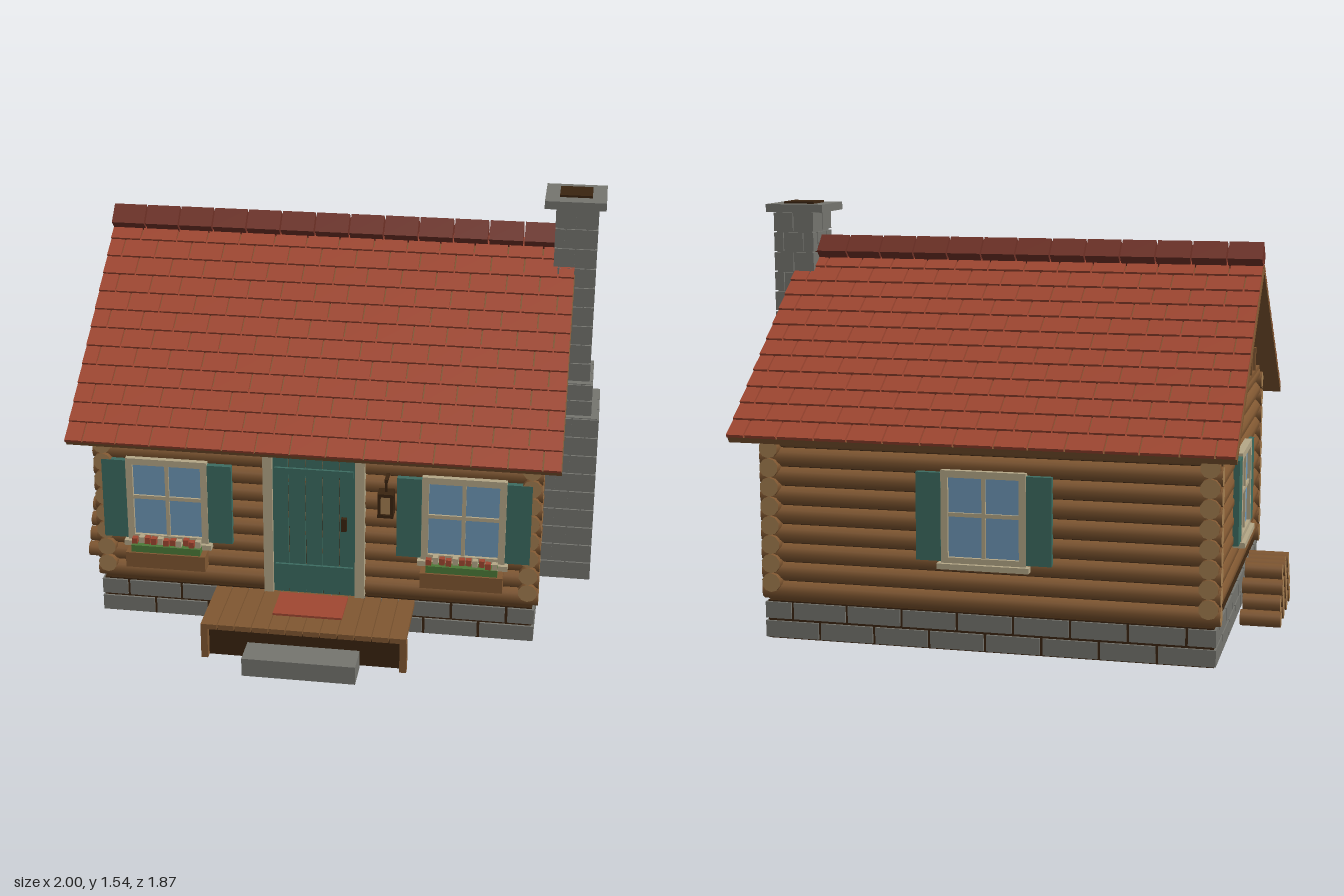
import * as THREE from 'three';
import { mergeGeometries } from 'three/addons/utils/BufferGeometryUtils.js';

const mat = (name, color) => Object.assign(new THREE.MeshStandardMaterial({ color }), { name });
const STONE = mat('stone', 0x75756f), DARK = mat('darkWood', 0x3a2410), WOOD = mat('logWood', 0x805731);
const TAN = mat('cutWood', 0xa47e50), RED = mat('roofTile', 0xa04731), RIDGE = mat('ridgeTile', 0x6f3126);
const GREEN = mat('paintedGreen', 0x3c6c61), GLASS = mat('glass', 0x6f98b8), TRIM = mat('trim', 0xb5a888);
const LEAF = mat('leaves', 0x4c7a38);

const CX = -0.012, CZ = -0.128;      // house centre
const WX = 0.7875, WZ = 0.63, R = 0.035; // log wall axes and log radius

const box = (w, h, d, x = 0, y = 0, z = 0) => new THREE.BoxGeometry(w, h, d).translate(x, y, z);
function add(parent, name, geos, material) {
  const list = Array.isArray(geos) ? geos : [geos];
  const mesh = new THREE.Mesh(list.length > 1 ? mergeGeometries(list) : list[0], material);
  mesh.name = name;
  parent.add(mesh);
  return mesh;
}
function group(parent, name, x = 0, y = 0, z = 0, ry = 0) {
  const g = new THREE.Group();
  g.name = name;
  g.position.set(x, y, z);
  g.rotation.y = ry;
  parent.add(g);
  return g;
}
function seeded(seed) {
  return () => (seed = (seed * 16807) % 2147483647) / 2147483647;
}

// Round log with pale cut ends, lying along x or z
function log(parent, name, len, r, x, y, z, alongX) {
  const g = new THREE.CylinderGeometry(r, r, len, 10);
  if (alongX) g.rotateZ(Math.PI / 2); else g.rotateX(Math.PI / 2);
  add(parent, name, g.translate(x, y, z), [WOOD, TAN, TAN]);
}

// Courses of stone blocks in running bond around a core
function masonry(parent, name, [x0, x1], [y0, y1], [z0, z1], rows, blockW, coreMat, gap) {
  const g = group(parent, name), blocks = [], inset = 0.008, t = 0.03;
  const w = x1 - x0, d = z1 - z0, cx = (x0 + x1) / 2, cz = (z0 + z1) / 2, h = (y1 - y0) / rows;
  add(g, name + 'Core', box(w - 2 * inset, y1 - y0, d - 2 * inset, cx, (y0 + y1) / 2, cz), coreMat);
  for (let r = 0; r < rows; r++) {
    const y = y0 + (r + 0.5) * h;
    for (const [len, off, ry] of [[w, d / 2, 0], [d, w / 2, Math.PI / 2], [w, d / 2, Math.PI], [d, w / 2, -Math.PI / 2]]) {
      const n = Math.max(2, Math.round(len / blockW)), step = len / n;
      const cuts = [-len / 2];
      for (let i = r % 2 ? 0.5 : 1; i < n; i++) cuts.push(-len / 2 + i * step);
      cuts.push(len / 2);
      for (let i = 0; i + 1 < cuts.length; i++) {
        const a = cuts[i] + (i ? gap / 2 : 0), b = cuts[i + 1] - (i + 2 < cuts.length ? gap / 2 : 0);
        blocks.push(box(b - a, h - gap, t, (a + b) / 2, y, off - t / 2).rotateY(ry).translate(cx, 0, cz));
      }
    }
  }
  add(g, name + 'Blocks', blocks, STONE);
}

// Window facing +z, with shutters and sill; optionally a flower box
function windowUnit(parent, x, y, flowers, seed) {
  const g = group(parent, 'window', x, y, 0), rand = seeded(seed);
  add(g, 'glass', box(0.28, 0.31, 0.04, 0, 0, -0.016), GLASS);
  add(g, 'windowFrame', [
    box(0.025, 0.33, 0.06, -0.14, 0, -0.013), box(0.025, 0.33, 0.06, 0.14, 0, -0.013),
    box(0.305, 0.025, 0.06, 0, 0.155, -0.013), box(0.305, 0.025, 0.06, 0, -0.155, -0.013),
    box(0.014, 0.31, 0.02, 0, 0, 0.002), box(0.28, 0.014, 0.02, 0, 0.01, 0.002),
    box(0.33, 0.02, 0.05, 0, -0.173, 0.007)], TRIM);
  add(g, 'shutters', [-1, 1].map(s => box(0.09, 0.315, 0.022, s * 0.198, 0, 0.005)), GREEN);
  if (!flowers) return;
  add(g, 'flowerBox', box(0.3, 0.06, 0.06, 0, -0.22, 0.045), WOOD);
  add(g, 'leaves', box(0.26, 0.03, 0.045, 0, -0.178, 0.045), LEAF);
  const red = [], pale = [];
  for (let i = 0; i < 11; i++)
    (i % 3 === 1 ? pale : red).push(box(0.02, 0.026, 0.022, -0.12 + i * 0.024, -0.154 + rand() * 0.006, 0.035 + rand() * 0.02));
  add(g, 'redFlowers', red, RED);
  add(g, 'paleFlowers', pale, TRIM);
}

// Gable boarding facing +z
function gable(parent) {
  const s = new THREE.Shape([[-0.635, 0.84], [0.635, 0.84], [0, 1.3]].map(p => new THREE.Vector2(...p)));
  add(parent, 'gablePanel', new THREE.ExtrudeGeometry(s, { depth: 0.04, bevelEnabled: false }).translate(0, 0, -0.06), TAN);
  const strips = [box(1.2, 0.018, 0.05, 0, 0.862, -0.03)];
  for (const d of [0.195, 0.32, 0.45]) for (const k of [-1, 1]) {
    const h = 1.285 - 0.72 * d - 0.865;
    strips.push(box(0.02, h, 0.03, k * d, 0.865 + h / 2, -0.02));
  }
  add(parent, 'gableBattens', strips, WOOD);
}

// One roof slope, running down towards +z
function roofSlope(parent, ry, seed) {
  const slope = group(group(parent, 'roofSlope', -0.01, 1.327, -0.13, ry), 'slope');
  slope.rotation.x = Math.atan(0.72);
  add(slope, 'roofDeck', box(1.78, 0.025, 0.975, 0, -0.0125, 0.4875), WOOD);
  const tiles = [], rand = seeded(seed), W = 1.78, n = 14, rows = 12, pitch = 0.082;
  for (let r = 0; r < rows; r++) {
    const cuts = [-W / 2];
    for (let i = r % 2 ? 0.5 : 1; i < n; i++) cuts.push(-W / 2 + (i + (rand() - 0.5) * 0.12) * W / n);
    cuts.push(W / 2);
    for (let i = 0; i + 1 < cuts.length; i++) {
      const t = box(cuts[i + 1] - cuts[i] - 0.006, 0.012, 0.1).rotateX(-0.1);
      tiles.push(t.translate((cuts[i] + cuts[i + 1]) / 2, 0.011, (r + 1) * pitch - 0.05));
    }
  }
  add(slope, 'roofTiles', tiles, RED);
}

export function createModel() {
  const model = new THREE.Group();
  model.name = 'logCabin';

  // Foundation and wall core
  masonry(model, 'foundation', [CX - 0.815, CX + 0.815], [0, 0.14], [CZ - 0.667, CZ + 0.667], 2, 0.2, DARK, 0.01);
  add(model, 'wallCore', box(2 * WX + 0.01, 0.7, 2 * WZ + 0.01, CX, 0.485, CZ), DARK);

  // Interlocking log walls
  const walls = group(model, 'logWalls', CX, 0, CZ);
  for (let i = 0; i < 10; i++) for (const s of [-1, 1]) {
    log(walls, 'longLog', 1.655, R, 0, 0.175 + i * 0.07, s * WZ, true);
    log(walls, 'sideLog', i === 9 ? 1.2 : 1.36, R, s * WX, 0.21 + i * 0.07, 0, false);
  }

  // Wall faces, each facing its own +z
  const front = group(model, 'frontFace', CX, 0, CZ + WZ + R);
  const back = group(model, 'backFace', CX, 0, CZ - WZ - R, Math.PI);
  const left = group(model, 'rightEndFace', CX - WX - R, 0, CZ, -Math.PI / 2);
  const right = group(model, 'chimneyEndFace', CX + WX + R, 0, CZ, Math.PI / 2);
  windowUnit(front, -0.548, 0.485, true, 11);
  windowUnit(front, 0.548, 0.485, true, 29);
  windowUnit(back, 0, 0.485, false, 1);
  windowUnit(left, 0, 0.485, false, 1);
  gable(left);
  gable(right);
  add(left, 'atticGlass', box(0.11, 0.13, 0.03, 0, 1.03, -0.02), GLASS);
  add(left, 'atticFrame', [
    ...[-1, 1].map(s => box(0.018, 0.15, 0.045, s * 0.06, 1.03, -0.018)),
    ...[-1, 1].map(s => box(0.138, 0.018, 0.045, 0, 1.03 + s * 0.07, -0.018))], TRIM);

  // Door
  const door = group(front, 'door');
  const planks = [];
  for (let i = 0; i < 5; i++) planks.push(box(0.06, 0.59, 0.04, -0.126 + i * 0.063, 0.435, -0.015));
  add(door, 'doorBacking', box(0.32, 0.59, 0.03, 0, 0.435, -0.02), DARK);
  add(door, 'doorPlanks', planks, GREEN);
  add(door, 'doorRails', [box(0.29, 0.025, 0.012, 0, 0.64, 0.009), box(0.29, 0.1, 0.012, 0, 0.21, 0.009)], GREEN);
  add(door, 'doorFrame', [
    ...[-1, 1].map(s => box(0.035, 0.6, 0.06, s * 0.17, 0.44, -0.012)), box(0.375, 0.03, 0.06, 0, 0.745, -0.012)], TRIM);
  add(door, 'doorHandle', box(0.02, 0.05, 0.02, 0.112, 0.44, 0.014), DARK);

  // Lantern
  const lantern = group(front, 'lantern', 0.27, 0.555, 0.048);
  add(lantern, 'lanternFrame', [
    box(0.058, 0.012, 0.054, 0, 0.041), box(0.058, 0.012, 0.054, 0, -0.041),
    ...[-1, 1].flatMap(a => [-1, 1].map(b => box(0.011, 0.08, 0.011, a * 0.023, 0, b * 0.021))),
    box(0.008, 0.05, 0.008, 0, 0.066), box(0.012, 0.012, 0.06, 0, 0.09, -0.024)], DARK);
  add(lantern, 'lanternPane', box(0.038, 0.072, 0.036), TAN);

  // Roof
  roofSlope(model, 0, 7);
  roofSlope(model, Math.PI, 19);
  const caps = [];
  for (let i = 0; i < 13; i++)
    caps.push(box(0.126, 0.082, 0.082).rotateX(Math.PI / 4).translate(-0.9 + 0.066 + i * 0.132, 1.352, -0.13));
  add(model, 'ridgeCaps', caps, RIDGE);

  // Chimney
  const chimney = group(model, 'chimney');
  masonry(chimney, 'chimneyBase', [0.8, 1.0], [0, 0.69], [-0.283, 0.033], 9, 0.1, STONE, 0.006);
  masonry(chimney, 'chimneyShoulder', [0.8, 0.97], [0.69, 0.82], [-0.255, 0.008], 2, 0.1, STONE, 0.006);
  masonry(chimney, 'chimneyStack', [0.8, 0.957], [0.82, 1.5], [-0.227, -0.02], 9, 0.1, STONE, 0.006);
  add(chimney, 'chimneyCap', box(0.225, 0.03, 0.235, 0.87, 1.515, -0.125), STONE);
  add(chimney, 'flue', box(0.12, 0.03, 0.12, 0.87, 1.523, -0.128), DARK);

  // Porch, mat and step
  const porch = group(model, 'porch', -0.01);
  const boards = [];
  for (let i = 0; i < 12; i++) boards.push(box(0.059, 0.02, 0.285, -0.344 + i * 0.0625, 0.131, 0.683));
  add(porch, 'porchBoards', boards, WOOD);
  add(porch, 'porchSkirt', box(0.7, 0.122, 0.255, 0, 0.061, 0.665), DARK);
  add(porch, 'porchPosts', [-1, 1].map(s => box(0.025, 0.121, 0.035, s * 0.3625, 0.0605, 0.803)), WOOD);
  add(porch, 'doorMat', box(0.255, 0.008, 0.16, 0, 0.145, 0.645), RED);
  add(porch, 'step', box(0.41, 0.07, 0.115, 0, 0.035, 0.867), STONE);

  // Stacked firewood
  const pile = group(model, 'woodPile', -0.925, 0, -0.068);
  for (let r = 0; r < 4; r++) for (let i = 0; i < 7 - r; i++)
    log(pile, 'firewood', 0.15 - 0.012 * ((i + r) % 2), 0.03, 0, 0.03 + r * 0.0525, (i - (6 - r) / 2) * 0.0605, true);

  return model;
}
